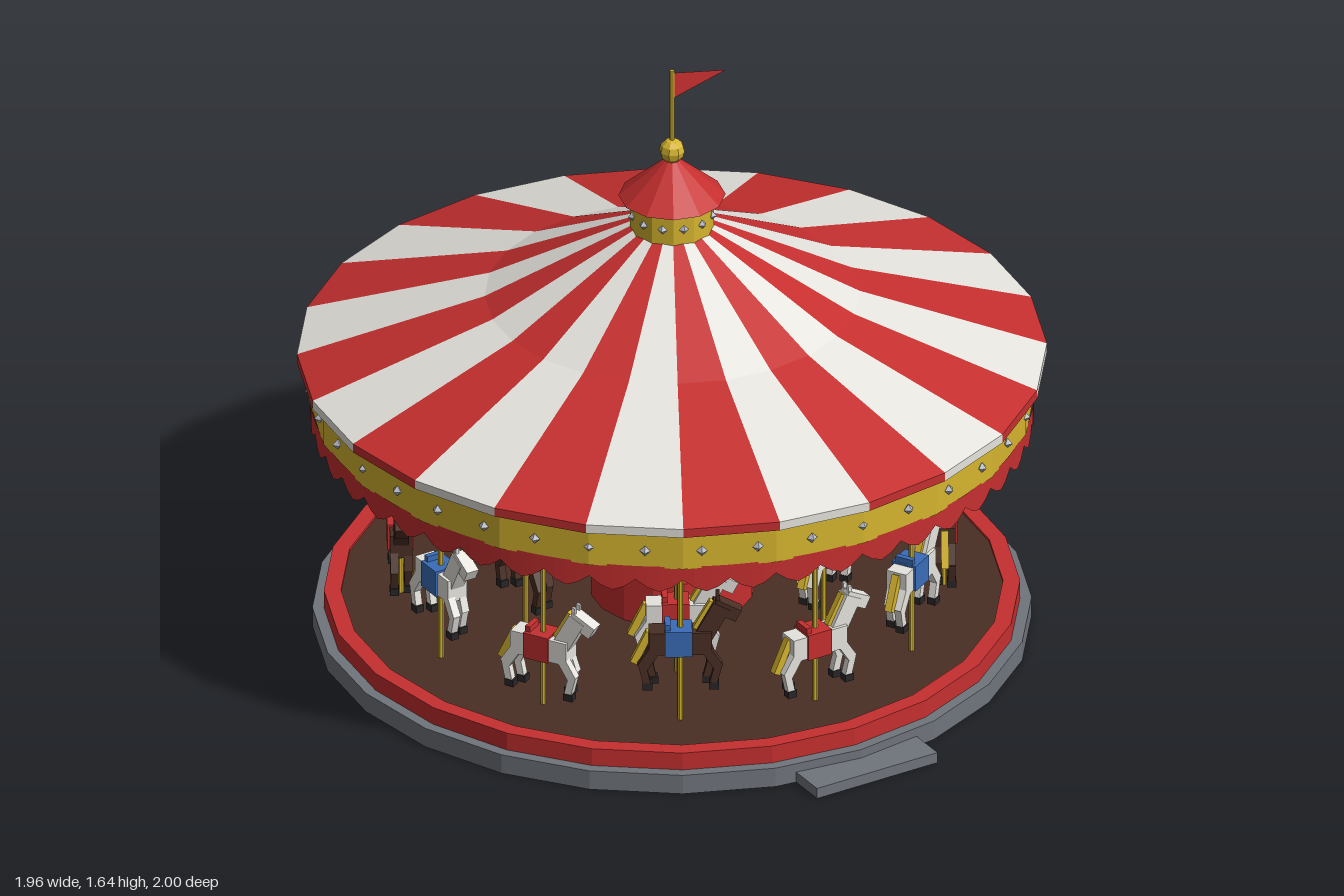
import * as THREE from 'three';

const mat = (name, color, side = THREE.FrontSide) => {
  const m = new THREE.MeshStandardMaterial({ color, side });
  m.name = name;
  return m;
};

// flat facets: split vertices, then one normal per face
const flat = (geo) => {
  const g = geo.index ? geo.toNonIndexed() : geo;
  g.computeVertexNormals();
  return g;
};

export function createModel() {
  const red = mat('red', 0xc62f2f, THREE.DoubleSide);
  const white = mat('white', 0xe6e4de, THREE.DoubleSide);
  const gold = mat('gold', 0xd6b52e, THREE.DoubleSide);
  const blue = mat('blue', 0x3a6cb8);
  const grey = mat('grey', 0x70747c);
  const brown = mat('brown', 0x4a2f25);
  const dark = mat('dark', 0x2a2627);
  const silver = mat('silver', 0xb4b8c4);

  const model = new THREE.Group();
  model.name = 'carousel';
  const ride = new THREE.Group();
  ride.name = 'ride';
  ride.position.z = -0.02;
  model.add(ride);

  const add = (parent, name, geo, material, x = 0, y = 0, z = 0) => {
    const mesh = new THREE.Mesh(flat(geo), material);
    mesh.name = name;
    mesh.position.set(x, y, z);
    parent.add(mesh);
    return mesh;
  };
  // upright cylinder between two heights
  const drum = (name, rTop, rBottom, y0, y1, sides, material, open = false) =>
    add(ride, name, new THREE.CylinderGeometry(rTop, rBottom, y1 - y0, sides, 1, open),
      material, 0, (y0 + y1) / 2, 0);
  const lathe = (points, segments, start = 0, length = Math.PI * 2) =>
    new THREE.LatheGeometry(points.map(([r, y]) => new THREE.Vector2(r, y)), segments, start, length);
  // box laid along a line in the XY plane
  const bar = (parent, name, [x0, y0], [x1, y1], thick, depth, material, z = 0) => {
    const mesh = add(parent, name,
      new THREE.BoxGeometry(Math.hypot(x1 - x0, y1 - y0), thick, depth), material,
      (x0 + x1) / 2, (y0 + y1) / 2, z);
    mesh.rotation.z = Math.atan2(y1 - y0, x1 - x0);
    return mesh;
  };

  // platform
  drum('platformBase', 0.94, 0.94, 0, 0.055, 24, grey);
  drum('floor', 0.88, 0.88, 0.05, 0.098, 24, brown);
  add(ride, 'platformRim',
    lathe([[0.91, 0.05], [0.91, 0.105], [0.865, 0.105], [0.865, 0.09]], 24), red);
  add(model, 'entryStep', new THREE.BoxGeometry(0.37, 0.03, 0.2), grey, 0, 0.015, 0.9);

  // centre column
  drum('columnPlinth', 0.215, 0.215, 0.095, 0.225, 16, red);
  drum('columnCore', 0.195, 0.195, 0.22, 0.74, 16, blue);
  drum('columnCornice', 0.22, 0.22, 0.69, 0.79, 16, red);
  for (let i = 0; i < 8; i++) {
    const a = i * Math.PI / 4;
    const p = add(ride, 'columnPilaster', new THREE.BoxGeometry(0.05, 0.47, 0.02), white,
      0.193 * Math.sin(a), 0.455, 0.193 * Math.cos(a));
    p.rotation.y = a;
  }

  // striped canopy
  const wedge = Math.PI / 12;
  const slope = [[0.98, 0.785], [0.98, 0.81], [0.49, 0.975], [0.105, 1.18]];
  for (let i = 0; i < 24; i++) {
    add(ride, 'canopyPanel', lathe(slope, 1, i * wedge, wedge), i % 2 ? white : red);
  }

  // roof beams
  for (let i = 0; i < 12; i++) {
    const beam = new THREE.Group();
    beam.name = 'roofBeam';
    beam.rotation.y = i * Math.PI / 6;
    ride.add(beam);
    add(beam, 'beam', new THREE.BoxGeometry(0.025, 0.03, 0.75), brown, 0, 0.765, 0.565);
  }

  // fascia band and scalloped valance
  drum('fasciaBand', 0.95, 0.95, 0.675, 0.795, 24, gold, true);
  const drop = [0.64, 0.617, 0.605, 0.617];
  const steps = 48 * 4;
  const pos = [];
  const index = [];
  for (let i = 0; i <= steps; i++) {
    const a = i / steps * Math.PI * 2;
    const x = 0.945 * Math.sin(a), z = 0.945 * Math.cos(a);
    pos.push(x, drop[i % 4], z, x, 0.68, z);
    const b = i * 2;
    if (i < steps) index.push(b, b + 2, b + 3, b, b + 3, b + 1);
  }
  const valance = new THREE.BufferGeometry();
  valance.setAttribute('position', new THREE.Float32BufferAttribute(pos, 3));
  valance.setIndex(index);
  add(ride, 'scallopedValance', valance, red);

  // rings of studs
  const studs = (count, radius, y, size, offset) => {
    for (let i = 0; i < count; i++) {
      const a = (i + offset) / count * Math.PI * 2;
      const s = add(ride, 'stud', new THREE.OctahedronGeometry(size), silver,
        radius * Math.sin(a), y, radius * Math.cos(a));
      s.rotation.y = a;
    }
  };
  studs(40, 0.947, 0.727, 0.015, 0);
  studs(12, 0.108, 1.222, 0.013, 0.5);

  // lantern, finial and pennant
  drum('lanternDrum', 0.11, 0.11, 1.165, 1.275, 12, gold);
  drum('lanternRoof', 0.02, 0.14, 1.27, 1.375, 12, red);
  add(ride, 'finialBall', new THREE.SphereGeometry(0.034, 8, 6), gold, 0, 1.402, 0);
  drum('flagPole', 0.006, 0.006, 1.4, 1.64, 6, gold);
  const pennant = new THREE.Shape([[0, 1.632], [0, 1.555], [0.165, 1.594]]
    .map(([x, y]) => new THREE.Vector2(x, y)));
  add(ride, 'pennant', new THREE.ShapeGeometry(pennant), red);

  // galloping horse, nose toward +x, pole through the origin
  const makeHorse = (coat, cloth) => {
    const h = new THREE.Group();
    h.name = 'horse';
    add(h, 'body', new THREE.BoxGeometry(0.165, 0.065, 0.058), coat);
    bar(h, 'neck', [0.055, 0.005], [0.108, 0.105], 0.048, 0.04, coat);
    bar(h, 'head', [0.088, 0.108], [0.152, 0.075], 0.036, 0.036, coat);
    bar(h, 'mane', [0.038, 0.035], [0.082, 0.115], 0.012, 0.018, gold);
    bar(h, 'tail', [-0.08, 0.025], [-0.122, -0.065], 0.02, 0.02, gold);
    add(h, 'saddleCloth', new THREE.BoxGeometry(0.072, 0.074, 0.07), cloth, -0.005, 0.002, 0);
    add(h, 'saddleBack', new THREE.BoxGeometry(0.015, 0.02, 0.05), cloth, -0.033, 0.045, 0);
    for (const s of [-1, 1]) {
      const z = 0.018 * s, d = 0.008 * s;
      add(h, 'ear', new THREE.BoxGeometry(0.01, 0.022, 0.009), coat, 0.098, 0.127, 0.012 * s);
      bar(h, 'foreThigh', [0.065, -0.015], [0.092 + d, -0.07], 0.026, 0.022, coat, z);
      bar(h, 'foreShin', [0.092 + d, -0.062], [0.078 + d, -0.118], 0.02, 0.02, coat, z);
      add(h, 'foreHoof', new THREE.BoxGeometry(0.026, 0.02, 0.024), dark, 0.08 + d, -0.125, z);
      bar(h, 'hindThigh', [-0.062, -0.01], [-0.092 - d, -0.07], 0.03, 0.022, coat, z);
      bar(h, 'hindShin', [-0.092 - d, -0.062], [-0.08 - d, -0.118], 0.02, 0.02, coat, z);
      add(h, 'hindHoof', new THREE.BoxGeometry(0.026, 0.02, 0.024), dark, -0.078 - d, -0.125, z);
    }
    return h;
  };

  // rings of horses on poles, alternately low and high
  const placeHorse = (angle, radius, high, coat) => {
    const x = radius * Math.sin(angle), z = radius * Math.cos(angle);
    add(ride, 'horsePole', new THREE.CylinderGeometry(0.008, 0.008, 0.67, 8), gold, x, 0.43, z);
    const h = makeHorse(coat, high ? blue : red);
    h.position.set(x, high ? 0.335 : 0.275, z);
    h.rotation.y = angle;
    ride.add(h);
  };
  for (let i = 0; i < 12; i++) {
    placeHorse(i * Math.PI / 6, 0.71, i % 2 === 1, i % 3 === 2 ? brown : white);
  }
  for (let i = 0; i < 6; i++) {
    placeHorse((i + 0.5) * Math.PI / 3, 0.45, i % 2 === 0, i % 3 === 1 ? brown : white);
  }

  return model;
}
